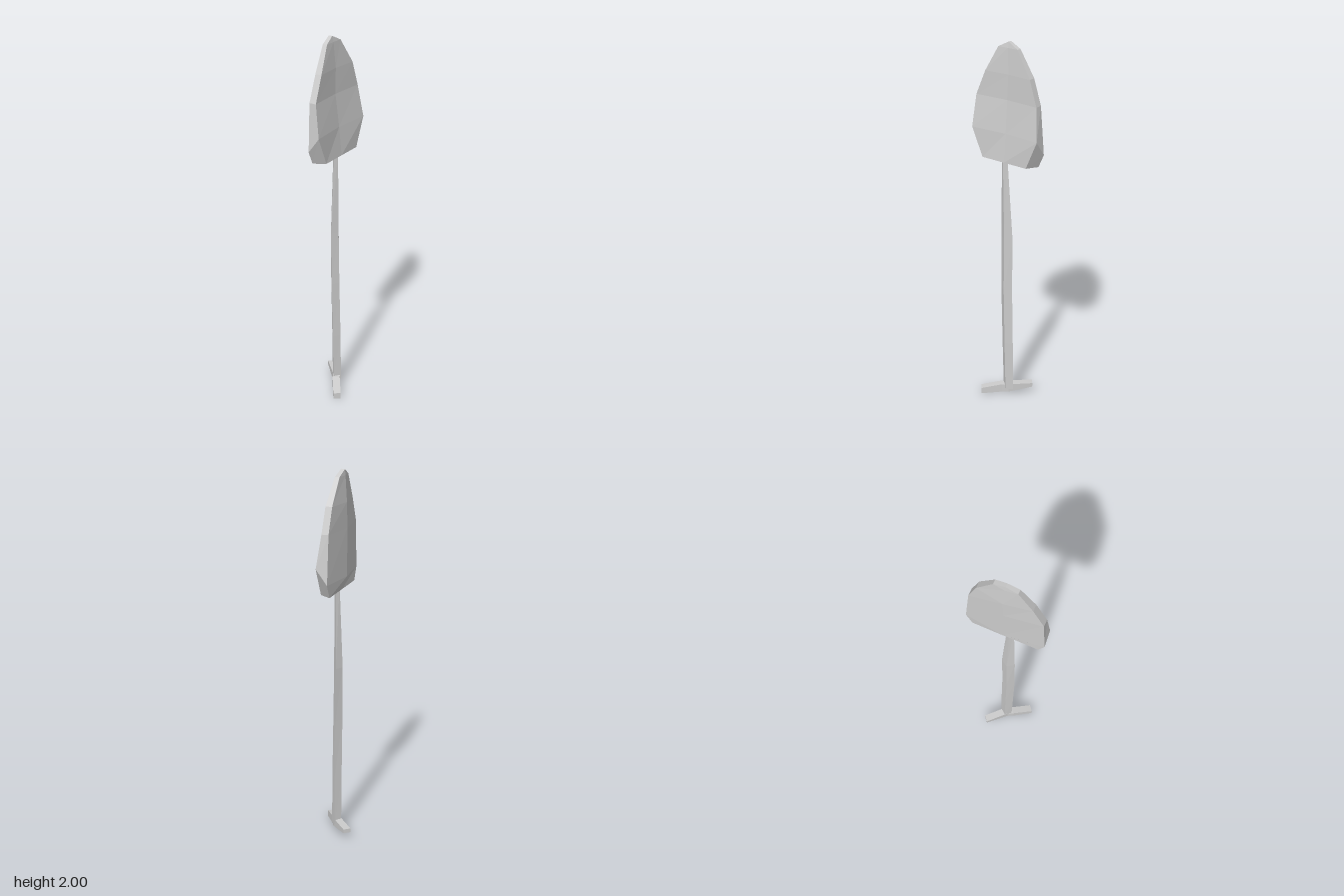
import * as THREE from 'three';

// Skin a list of rings (anticlockwise seen from the last ring) and close both ends
function loft(name, rings) {
  const pos = [];
  const n = rings[0].length;
  const tri = (a, b, c) => pos.push(...a, ...b, ...c);
  for (let i = 0; i < rings.length - 1; i++) {
    for (let j = 0; j < n; j++) {
      const k = (j + 1) % n;
      const a = rings[i][j], b = rings[i][k], c = rings[i + 1][k], d = rings[i + 1][j];
      tri(a, b, c);
      tri(a, c, d);
    }
  }
  const first = rings[0], last = rings[rings.length - 1];
  for (let j = 1; j < n - 1; j++) {
    tri(first[0], first[j + 1], first[j]);
    tri(last[0], last[j], last[j + 1]);
  }
  const geometry = new THREE.BufferGeometry();
  geometry.setAttribute('position', new THREE.Float32BufferAttribute(pos, 3));
  geometry.computeVertexNormals();
  const mesh = new THREE.Mesh(geometry, new THREE.MeshStandardMaterial({ color: 0xcccccc, flatShading: true }));
  mesh.name = name;
  return mesh;
}

// Blade: scooped face towards +x, ridged back towards -x, clipped lower corners
function makeBlade() {
  // zMid, then [y, half width, edge x, middle x] of the scooped face and of the back
  const rows = [
    [0.003, [1.39, 0.14, 0.04, 0.04], [1.39, 0.175, -0.02, -0.02]],
    [0.003, [1.54, 0.207, 0.04, 0.025], [1.46, 0.207, -0.02, -0.046]],
    [0.008, [1.71, 0.19, 0.017, 0.006], [1.71, 0.19, -0.02, -0.046]],
    [0.002, [1.84, 0.14, 0.013, 0.004], [1.84, 0.14, -0.022, -0.045]],
    [0.01, [1.97, 0.06, -0.002, -0.004], [1.97, 0.06, -0.026, -0.034]],
    [0.012, [2.0, 0, -0.01, -0.01], [2.0, 0, -0.03, -0.03]],
  ];
  return loft('blade', rows.map(([z, [fy, fw, fe, fm], [by, bw, be, bm]]) => [
    [fe, fy, z + fw], [fm, fy, z], [fe, fy, z - fw],
    [be, by, z - bw], [bm, by, z], [be, by, z + bw],
  ]));
}

// Shaft: uneven diamond section, thinner towards the blade
function makeShaft() {
  const sections = [ // y, centre x, centre z, radius x, radius z
    [0.04, 0.009, -0.003, 0.027, 0.034],
    [0.33, 0.009, 0.003, 0.027, 0.036],
    [0.66, 0.007, 0.011, 0.026, 0.037],
    [0.96, 0.004, 0.011, 0.024, 0.037],
    [1.41, 0.014, 0.018, 0.014, 0.018],
  ];
  return loft('shaft', sections.map(([y, x, z, rx, rz]) => [
    [x + rx, y, z], [x, y, z - rz], [x - rx, y, z], [x, y, z + rz],
  ]));
}

// Crossbar grip: drooping bar set diagonally under the shaft
function makeGrip() {
  const dx = 0.64, dz = 0.77, half = 0.02;
  const sections = [ // centre x, centre z, bottom y, top y
    [-0.088, -0.096, 0.042, 0.065],
    [0.008, -0.002, 0.02, 0.068],
    [0.025, 0.03, 0.016, 0.064],
    [0.092, 0.125, 0, 0.035],
  ];
  return loft('crossbarGrip', sections.map(([x, z, low, high]) => {
    const corner = (y, side) => [x - dz * half * side, y, z + dx * half * side];
    return [corner(high, 1), corner(low, 1), corner(low, -1), corner(high, -1)];
  }));
}

export function createModel() {
  const shovel = new THREE.Group();
  shovel.name = 'shovel';
  shovel.add(makeBlade(), makeShaft(), makeGrip());
  return shovel;
}
